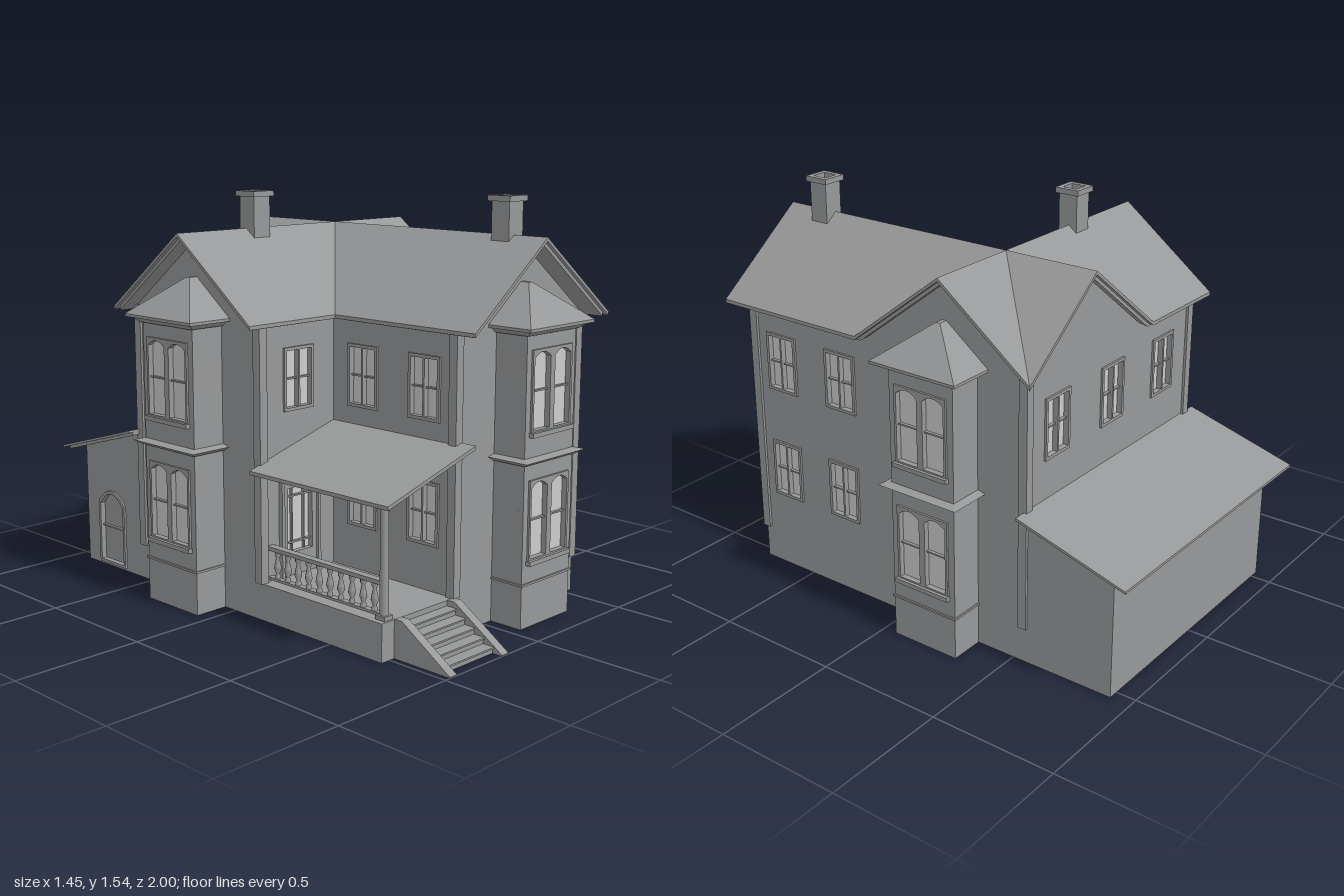
import * as THREE from 'three';

const WALL = new THREE.MeshStandardMaterial({ color: 0x979899, side: THREE.DoubleSide });
const GLASS = new THREE.MeshStandardMaterial({ color: 0xcccccc, side: THREE.DoubleSide });
// turn of a facade about y; along it u = x (front), -z (right side), -x (back), z (other side)
const FRONT = 0, EAST = Math.PI / 2, BACK = Math.PI, WEST = -Math.PI / 2;

function add(parent, name, geometry, x = 0, y = 0, z = 0, material = WALL) {
  const mesh = new THREE.Mesh(geometry, material);
  mesh.name = name;
  mesh.position.set(x, y, z);
  parent.add(mesh);
  return mesh;
}

// box given by its min and max corners
function box(parent, name, x0, x1, y0, y1, z0, z1) {
  return add(parent, name, new THREE.BoxGeometry(x1 - x0, y1 - y0, z1 - z0), (x0 + x1) / 2, (y0 + y1) / 2, (z0 + z1) / 2);
}

const poly = (pts) => new THREE.Shape(pts.map((p) => new THREE.Vector2(...p)));
const extrude = (shape, depth) => new THREE.ExtrudeGeometry(shape, { depth, bevelEnabled: false, curveSegments: 8 });

// rectangle with an optional arched top
function opening(x, y, w, h, arch = 0) {
  const s = new THREE.Shape();
  s.moveTo(x, y).lineTo(x + w, y).lineTo(x + w, y + h - arch);
  if (arch) s.quadraticCurveTo(x + w / 2, y + h + arch, x, y + h - arch);
  else s.lineTo(x, y + h);
  return s.closePath();
}

// profile in (x, y) swept along z
const sweepZ = (parent, name, pts, z0, z1) => add(parent, name, extrude(poly(pts), z1 - z0), 0, 0, z0);
// profile in (z, y) swept along x
function sweepX(parent, name, pts, x0, x1) {
  add(parent, name, extrude(poly(pts), x1 - x0), x1).rotation.y = -Math.PI / 2;
}

// four-sided block against a wall (back at z = 0) with different bottom and top sizes
function taper(parent, name, w0, d0, w1, d1, y0, y1) {
  const g = new THREE.BoxGeometry(1, 1, 1), p = g.attributes.position;
  for (let i = 0; i < p.count; i++) {
    const top = p.getY(i) > 0;
    p.setXYZ(i, p.getX(i) * (top ? w1 : w0), top ? y1 : y0, p.getZ(i) > 0 ? (top ? d1 : d0) : 0);
  }
  g.computeVertexNormals();
  return add(parent, name, g);
}

const outline = (o) => opening(o.u - o.w / 2, o.v, o.w, o.h, o.leaves === 1 ? o.arch : 0);

// frame with one or two lights, cross rails, glass and optional sill
function addWindow(parent, o) {
  const { u, v, w, h, arch = 0, leaves = 2, edge = 0.012, foot = edge, gap = 0.008, rails = [0.5] } = o;
  const win = new THREE.Group();
  win.name = o.name || 'window';
  parent.add(win);
  const frame = outline(o);
  const lw = (w - 2 * edge - (leaves - 1) * gap) / leaves, lh = h - edge - foot;
  for (let i = 0; i < leaves; i++) {
    const x = u - w / 2 + edge + i * (lw + gap);
    frame.holes.push(opening(x, v + foot, lw, lh, arch));
    for (const r of rails) {
      const y = v + foot + r * lh;
      box(win, 'rail', x, x + lw, y - 0.003, y + 0.003, -0.014, -0.002);
    }
  }
  add(win, 'frame', extrude(frame, 0.028), 0, 0, -0.02);
  add(win, 'glass', new THREE.ShapeGeometry(outline(o)), 0, 0, -0.014, o.solid ? WALL : GLASS);
  if (o.sill) box(win, 'sill', u - w / 2 - 0.006, u + w / 2 + 0.006, v - 0.013, v + 0.004, 0, 0.02);
}

// wall panel facing outward at distance d, pierced by its windows
function facade(parent, name, turn, d, pts, windows = []) {
  const g = new THREE.Group();
  g.name = name;
  g.rotation.y = turn;
  g.position.set(Math.sin(turn) * d, 0, Math.cos(turn) * d);
  parent.add(g);
  const shape = poly(pts);
  windows.forEach((o) => shape.holes.push(outline(o)));
  add(g, 'wall', extrude(shape, 0.02), 0, 0, -0.02);
  windows.forEach((o) => addWindow(g, o));
  return g;
}

const rect = (u0, u1, v0, v1) => [[u0, v0], [u1, v0], [u1, v1], [u0, v1]];
const sash = (u, v) => ({ u, v, w: 0.148, h: 0.235 });
const LOW = 0.31, HIGH = 0.765;

// two-storey bay with paired arched windows, cornices and hipped roof
function addBay(parent, name, turn, d, u) {
  const side = new THREE.Group();
  side.name = name;
  side.rotation.y = turn;
  side.position.set(Math.sin(turn) * d, 0, Math.cos(turn) * d);
  parent.add(side);
  const bay = new THREE.Group();
  bay.position.x = u;
  side.add(bay);
  const arched = (v) => ({ u: 0, v, w: 0.23, h: 0.3, arch: 0.02, gap: 0.026, edge: 0.01, sill: true });
  facade(bay, 'bayFront', FRONT, 0.137, rect(-0.142, 0.142, 0, 1.09), [arched(0.25), arched(0.72)]);
  for (const s of [-1, 1]) {
    box(bay, 'baySide', s * 0.132 - 0.01, s * 0.132 + 0.01, 0, 1.09, 0, 0.117);
  }
  taper(bay, 'baseBand', 0.294, 0.143, 0.294, 0.143, 0.162, 0.17);
  taper(bay, 'middleCornice', 0.3, 0.147, 0.35, 0.172, 0.608, 0.624);
  taper(bay, 'cornicePlate', 0.35, 0.172, 0.29, 0.14, 0.624, 0.632);
  taper(bay, 'topCornice', 0.3, 0.147, 0.35, 0.172, 1.072, 1.094);
  taper(bay, 'bayEave', 0.376, 0.185, 0.376, 0.185, 1.092, 1.103);
  taper(bay, 'bayRoof', 0.376, 0.185, 0.018, 0.035, 1.103, 1.24);
}

function addChimney(parent, x, z) {
  const chimney = new THREE.Group();
  chimney.name = 'chimney';
  chimney.position.set(x, 0, z);
  parent.add(chimney);
  const ring = (name, r, y0, y1) => {
    const s = poly(rect(-r, r, -r, r));
    s.holes.push(poly(rect(-0.03, 0.03, -0.03, 0.03)));
    add(chimney, name, extrude(s, y1 - y0), 0, y0).rotation.x = -Math.PI / 2;
  };
  ring('stack', 0.04, 1.36, 1.53);
  ring('cap', 0.051, 1.522, 1.543);
}

// crossing gable roofs as thin slabs that meet in valleys; inset pulls in all outer edges
function addRoof(parent, name, inset, drop, thick) {
  const cx = 0.19, cz = -0.2, r = 0.39 - inset;
  const slab = (pts, rise) => {
    const g = extrude(poly(pts.map(([x, z]) => [x, -z])), thick).rotateX(-Math.PI / 2), p = g.attributes.position;
    for (let i = 0; i < p.count; i++) p.setY(i, p.getY(i) + 1.403 - drop - thick - 0.77 * rise(p.getX(i), p.getZ(i)));
    g.computeVertexNormals();
    add(parent, name, g);
  };
  for (const s of [-1, 1]) {
    for (const end of [0.855 - inset, cz - r]) {
      const valley = end > cz ? cz + r : cz - r;
      slab([[cx, cz], [cx, end], [cx + s * r, end], [cx + s * r, valley]], (x) => s * (x - cx));
    }
    for (const end of [-0.623 + inset, cx + r]) {
      const valley = end < cx ? cx - r : cx + r;
      slab([[cx, cz], [end, cz], [end, cz + s * r], [valley, cz + s * r]], (x, z) => s * (z - cz));
    }
  }
}

function addPorch(parent) {
  const porch = new THREE.Group();
  porch.name = 'porch';
  parent.add(porch);
  box(porch, 'porchFloor', -0.54, -0.17, 0.12, 0.14, 0.15, 0.75);
  facade(porch, 'porchBaseFront', FRONT, 0.75, rect(-0.54, -0.17, 0, 0.13));
  facade(porch, 'porchBaseSide', WEST, 0.54, rect(0.15, 0.75, 0, 0.13));
  sweepZ(porch, 'porchRoof', [[-0.595, 0.56], [-0.15, 0.69], [-0.15, 0.704], [-0.595, 0.574]], 0.15, 0.825);
  sweepZ(porch, 'porchRoofTrim', [[-0.575, 0.554], [-0.17, 0.672], [-0.17, 0.685], [-0.575, 0.567]], 0.15, 0.805);
  box(porch, 'porchBeam', -0.507, -0.483, 0.55, 0.58, 0.15, 0.745);

  // turned post and balustrade along the open side
  const px = -0.497, pz = 0.72;
  box(porch, 'postFoot', px - 0.022, px + 0.022, 0.14, 0.155, pz - 0.022, pz + 0.022);
  add(porch, 'post', new THREE.CylinderGeometry(0.015, 0.016, 0.42, 16), px, 0.36, pz);
  add(porch, 'postCapital', new THREE.CylinderGeometry(0.024, 0.016, 0.015, 16), px, 0.543, pz);
  box(porch, 'bottomRail', px - 0.012, px + 0.012, 0.15, 0.16, 0.15, pz);
  box(porch, 'topRail', px - 0.015, px + 0.015, 0.262, 0.277, 0.15, pz);
  const baluster = new THREE.LatheGeometry(
    [[0.011, 0], [0.011, 0.012], [0.006, 0.018], [0.014, 0.038], [0.012, 0.052], [0.006, 0.08], [0.011, 0.088], [0.011, 0.104]]
      .map((p) => new THREE.Vector2(...p)), 10);
  for (let i = 0; i < 10; i++) add(porch, 'baluster', baluster, px, 0.159, 0.19 + i * 0.054);

  // steps between sloping side walls
  for (const x of [-0.478, -0.203]) {
    sweepX(porch, 'stairSide', [[0.75, 0], [1, 0], [1, 0.004], [0.785, 0.142], [0.75, 0.142]], x, x + 0.036);
  }
  for (let i = 0; i < 5; i++) {
    const y = 0.12 - i * 0.024, z = 0.79 + i * 0.042;
    box(porch, 'step', -0.442, -0.203, Math.max(0, y - 0.024), y - 0.006, 0.75, z);
    box(porch, 'tread', -0.442, -0.203, y - 0.006, y, z - 0.045, z + 0.006);
  }
}

export function createModel() {
  const house = new THREE.Group();
  house.name = 'house';

  // main walls
  facade(house, 'frontGableWall', FRONT, 0.75, [[-0.17, 0], [0.54, 0], [0.54, 1.11], [0.19, 1.38], [-0.17, 1.11]]);
  facade(house, 'sideGableWall', EAST, 0.54,
    [[-0.75, 0], [0.55, 0], [0.55, 1.11], [0.2, 1.38], [-0.15, 1.11], [-0.75, 1.11]],
    [-0.605, -0.305].flatMap((u) => [sash(u, LOW), sash(u, HIGH)]));
  facade(house, 'backWall', BACK, 0.55,
    [[-0.54, 0], [0.54, 0], [0.54, 1.11], [0.16, 1.11], [-0.19, 1.38], [-0.54, 1.11]],
    [-0.36, -0.01, 0.34].map((u) => sash(u, HIGH)));
  facade(house, 'wingGableWall', WEST, 0.54, [[-0.55, 0], [0.15, 0], [0.15, 1.11], [-0.2, 1.38], [-0.55, 1.11]]);
  facade(house, 'porchSideWall', WEST, 0.17, rect(0.13, 0.75, 0.12, 1.11),
    [0.305, 0.605].flatMap((u) => [sash(u, LOW), sash(u, HIGH)]));

  // front door with a glazed panel, inside the porch
  const door = { name: 'frontDoor', u: -0.3525, v: 0.141, w: 0.17, h: 0.357, leaves: 1, edge: 0.0225, foot: 0.088, rails: [0.14, 0.86] };
  const entry = facade(house, 'porchBackWall', FRONT, 0.15, rect(-0.54, -0.17, 0.12, 1.11), [sash(-0.353, HIGH), door]);
  const casing = opening(-0.452, 0.14, 0.199, 0.372, 0.006);
  casing.holes.push(opening(-0.4375, 0.14, 0.17, 0.358));
  add(entry, 'doorCasing', extrude(casing, 0.018));
  for (const x of [-0.383, -0.322]) box(entry, 'doorBar', x - 0.002, x + 0.002, 0.23, 0.475, -0.014, -0.002);

  // corner boards
  for (const [x, z, sx, sz] of [[0.54, 0.75, 1, 1], [0.54, -0.55, 1, -1], [-0.54, -0.55, -1, -1], [-0.54, 0.15, -1, 1], [-0.17, 0.75, -1, 1]]) {
    add(house, 'cornerBoard', new THREE.BoxGeometry(0.036, 0.965, 0.036), x - sx * 0.008, 0.6225, z - sz * 0.008);
  }

  addRoof(house, 'roof', 0, 0, 0.014);
  addRoof(house, 'roofTrim', 0.016, 0.014, 0.016);
  addChimney(house, -0.245, -0.195);
  addChimney(house, 0.2, 0.665);

  addBay(house, 'frontBay', FRONT, 0.75, 0.187);
  addBay(house, 'sideBay', EAST, 0.54, 0.198);
  addBay(house, 'wingBay', WEST, 0.54, -0.198);
  addPorch(house);

  // lean-to shed at the back
  facade(house, 'shedBackWall', BACK, 0.92, rect(-0.54, 0.54, 0, 0.485));
  facade(house, 'shedSideWall', EAST, 0.54, [[0.55, 0], [0.92, 0], [0.92, 0.485], [0.55, 0.595]]);
  facade(house, 'shedDoorWall', WEST, 0.54, [[-0.92, 0], [-0.55, 0], [-0.55, 0.595], [-0.92, 0.485]],
    [{ name: 'shedDoor', u: -0.75, v: 0.01, w: 0.17, h: 0.31, arch: 0.05, leaves: 1, solid: true }]);
  sweepX(house, 'shedRoof', [[-0.55, 0.612], [-1, 0.482], [-1, 0.472], [-0.55, 0.602]], -0.6, 0.6);
  sweepX(house, 'shedRoofTrim', [[-0.55, 0.602], [-0.98, 0.478], [-0.98, 0.466], [-0.55, 0.59]], -0.58, 0.58);
  return house;
}
